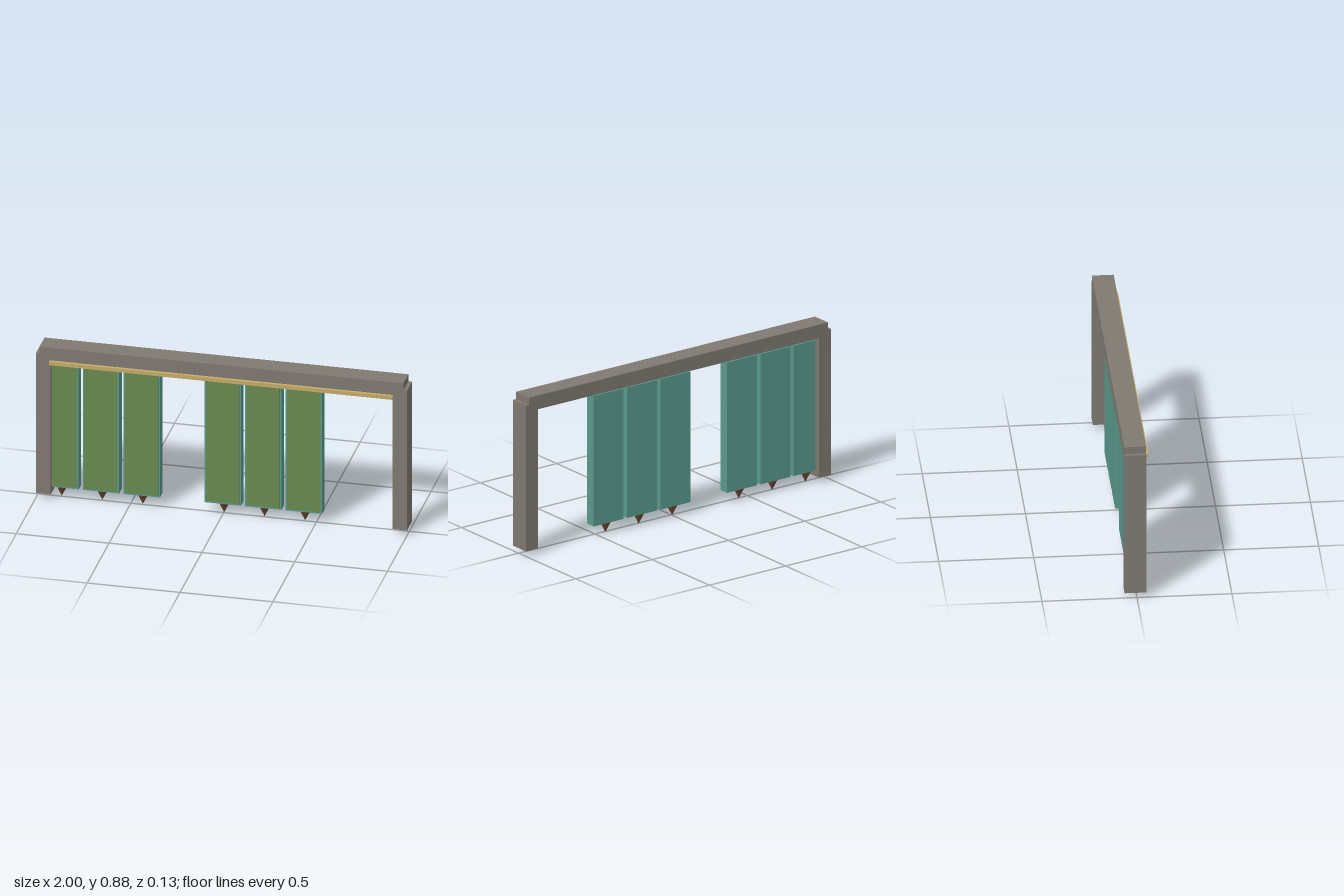
import * as THREE from 'three';

const mat = (name, color) => {
  const m = new THREE.MeshStandardMaterial({ color });
  m.name = name;
  return m;
};

export function createModel() {
  const model = new THREE.Group();
  model.name = 'hangingPanelFrame';

  const stone = mat('stoneGrey', 0x7f7a72);
  const teal = mat('teal', 0x5a9a8c);
  const green = mat('leafGreen', 0x688850);
  const tan = mat('tan', 0xc4ab68);
  const brown = mat('brown', 0x6e4b32);
  brown.flatShading = true;

  // Box given by its min and max corners
  const box = (name, material, [x0, y0, z0], [x1, y1, z1], parent = model) => {
    const mesh = new THREE.Mesh(new THREE.BoxGeometry(x1 - x0, y1 - y0, z1 - z0), material);
    mesh.position.set((x0 + x1) / 2, (y0 + y1) / 2, (z0 + z1) / 2);
    mesh.name = name;
    parent.add(mesh);
    return mesh;
  };

  // Frame: two posts and the lintel
  const back = -0.065, front = 0.05;
  box('rightPost', stone, [-1, 0.028, back], [-0.92, 0.84, front]);
  box('leftPost', stone, [0.92, 0.028, back], [1, 0.84, front]);
  box('lintel', stone, [-0.98, 0.803, back], [0.98, 0.88, front]);

  // Thin rail on the front of the lintel
  box('rail', tan, [-0.925, 0.786, front], [0.925, 0.807, 0.067]);

  // Hanging panels in evenly spaced slots, with one slot left empty
  const pitch = 0.2185, midZ = -0.0075;
  for (const slot of [-4, -3, -2, 0, 1, 2]) {
    const panel = new THREE.Group();
    panel.name = 'panel';
    panel.position.set(slot * pitch, 0, midZ);
    box('panelBody', teal, [-0.098, 0.06, -0.029], [0.098, 0.786, 0.029], panel);
    box('panelFace', green, [-0.09, 0.07, 0.029], [0.09, 0.768, 0.035], panel);

    // Pointed weight under the panel
    const weight = new THREE.Mesh(new THREE.ConeGeometry(0.03, 0.06, 8), brown);
    weight.name = 'weight';
    weight.rotation.x = Math.PI;
    weight.position.y = 0.03;
    panel.add(weight);
    model.add(panel);
  }
  return model;
}
